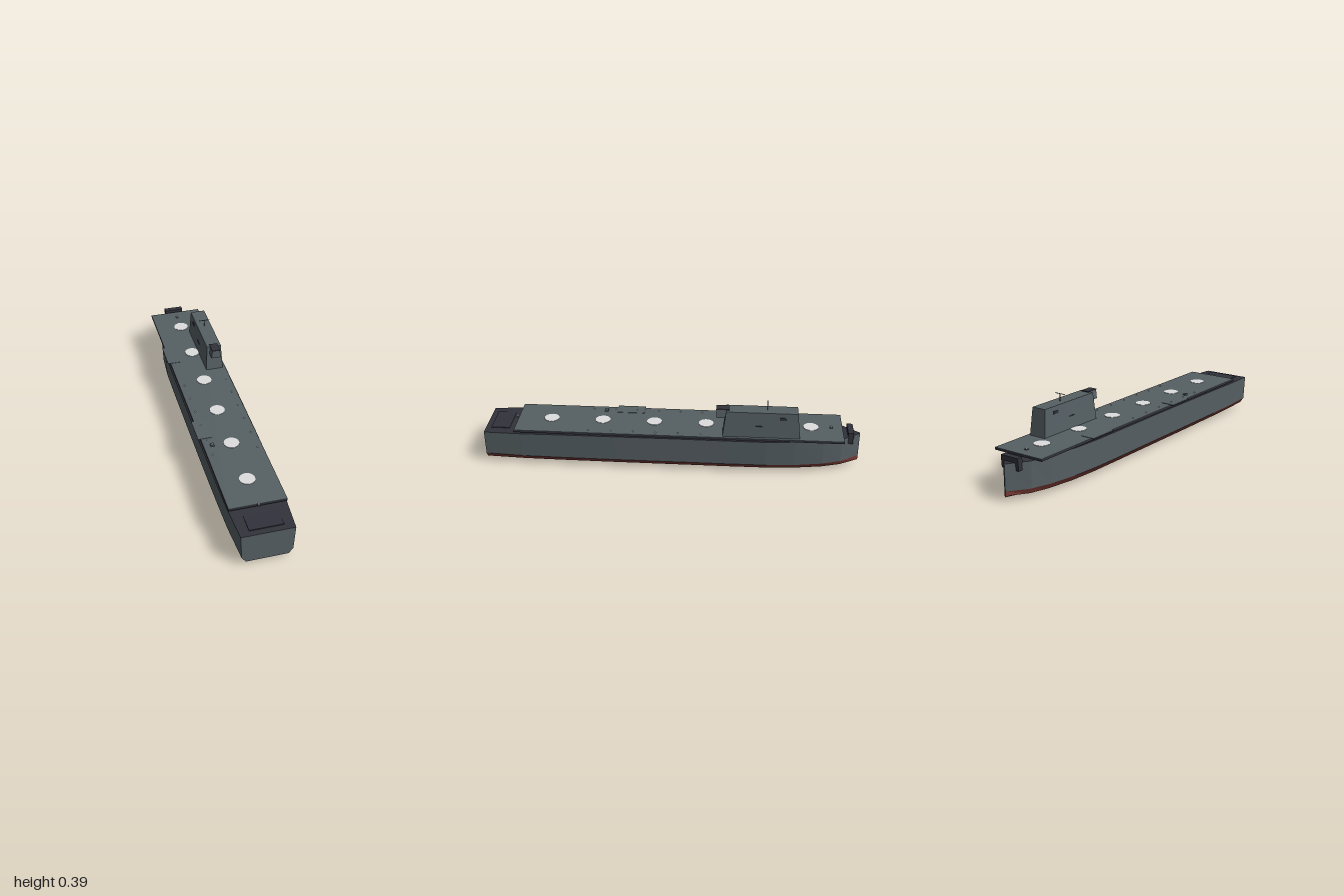
import * as THREE from 'three';

const mat = (name, color) => Object.assign(new THREE.MeshStandardMaterial({ color }), { name });

// Quads given as four corners, counter-clockwise from outside; flat normals
function quadGeometry(quads) {
  const pos = [];
  for (const [a, b, c, d] of quads) pos.push(...a, ...b, ...c, ...a, ...c, ...d);
  const g = new THREE.BufferGeometry();
  g.setAttribute('position', new THREE.Float32BufferAttribute(pos, 3));
  g.computeVertexNormals();
  return g;
}

// Box between two corners whose top is drawn in by tx and tz on each side
function block(x0, x1, y0, y1, z0, z1, tx = 0, tz = 0) {
  let g = new THREE.BoxGeometry(x1 - x0, y1 - y0, z1 - z0);
  const p = g.attributes.position;
  for (let i = 0; i < p.count; i++) {
    if (p.getY(i) > 0) {
      p.setX(i, p.getX(i) - Math.sign(p.getX(i)) * tx);
      p.setZ(i, p.getZ(i) - Math.sign(p.getZ(i)) * tz);
    }
  }
  g.translate((x0 + x1) / 2, (y0 + y1) / 2, (z0 + z1) / 2);
  g = g.toNonIndexed();
  g.computeVertexNormals();
  return g;
}

export function createModel() {
  const grey = mat('shipGrey', 0x566064);
  const dark = mat('darkDeck', 0x32323c);
  const red = mat('hullRed', 0x7a3a34);
  const white = mat('markingWhite', 0xdedede);

  const ship = new THREE.Group();
  ship.name = 'ship';
  const add = (name, geometry, material, parent = ship) => {
    const m = new THREE.Mesh(geometry, material);
    m.name = name;
    parent.add(m);
    return m;
  };

  // Hull stations, stern to bow: z, half width, sheer height, bilge height, keel height
  const stations = [
    [1, 0.133, 0.184, 0.02, 0.026],
    [0.8, 0.146, 0.189, 0.02, 0.016],
    [0.6, 0.15, 0.193, 0.02, 0.009],
    [0.3, 0.152, 0.195, 0.02, 0.003],
    [0, 0.152, 0.196, 0.02, 0],
    [-0.3, 0.152, 0.195, 0.02, 0.003],
    [-0.5, 0.15, 0.194, 0.02, 0.006],
    [-0.65, 0.138, 0.192, 0.02, 0.01],
    [-0.8, 0.112, 0.189, 0.022, 0.014],
    [-0.9, 0.078, 0.187, 0.024, 0.018],
    [-1, 0.003, 0.185, 0.028, 0.022],
  ];
  const rings = stations.map(([z, w, top, bilge, keel]) => {
    const half = [[w, top, z], [w * 0.95, 0.05, z], [w * 0.79, bilge, z], [w * 0.38, keel, z]];
    return [...half, ...half.slice().reverse().map(([x, y, zz]) => [-x, y, zz])];
  });
  const plating = (strakes) => {
    const quads = [];
    for (let i = 0; i < rings.length - 1; i++) {
      for (const j of strakes) {
        const k = (j + 1) % 8;
        quads.push([rings[i][j], rings[i][k], rings[i + 1][k], rings[i + 1][j]]);
      }
    }
    return quads;
  };
  const s = rings[0], b = rings[rings.length - 1];
  const transom = [0, 1, 2].map((j) => [s[j], s[7 - j], s[6 - j], s[j + 1]]);
  const stem = [0, 1, 2].map((j) => [b[7 - j], b[j], b[j + 1], b[6 - j]]);
  add('hullSides', quadGeometry([...plating([0, 6]), ...transom, stem[0]]), grey);
  add('hullBottom', quadGeometry([...plating([1, 2, 3, 4, 5]), stem[1], stem[2]]), red);
  add('hullDeck', quadGeometry(plating([7])), dark);
  add('sternHatch', block(-0.085, 0.085, 0.184, 0.19, 0.87, 0.97), dark);

  // Flight deck: dark slab with a grey top
  add('flightDeckSlab', block(-0.145, 0.145, 0.198, 0.208, -0.905, 0.835), dark);
  add('flightDeckTop', block(-0.145, 0.145, 0.208, 0.2105, -0.905, 0.835), grey);
  for (const [z0, z1] of [[-0.54, -0.38], [0.16, 0.31]]) {
    add('deckEdgeLift', block(-0.159, -0.085, 0.208, 0.2125, z0, z1), grey);
  }

  // Landing spots down the centreline
  for (let i = 0; i < 6; i++) {
    const spot = new THREE.CylinderGeometry(0.04, 0.04, 0.002, 24);
    add('landingSpot', spot, white).position.set(-0.001, 0.2115, 0.655 - i * 0.2785);
  }

  // Small deck lights along both edges
  for (let i = 0; i < 6; i++) {
    for (const x of [-0.117, 0.117]) {
      add('deckLight', new THREE.SphereGeometry(0.004, 8, 6), white).position.set(x, 0.212, -0.155 + i * 0.119);
    }
  }

  // Defence mounts at both ends
  for (const z of [0.842, -0.845]) {
    const y = z > 0.835 ? 0.208 : 0.21;
    add('mountBase', block(-0.007, 0.007, y, 0.215, z - 0.008, z + 0.008), grey);
    add('mountDome', new THREE.SphereGeometry(0.005, 8, 6), white).position.set(0, 0.218, z);
  }
  add('deckLocker', block(-0.11, -0.092, 0.21, 0.219, 0.36, 0.38), grey);

  // Island superstructure
  const island = new THREE.Group();
  island.name = 'island';
  ship.add(island);
  add('islandBody', block(0.035, 0.13, 0.21, 0.352, -0.675, -0.27, 0.008, 0.016), grey, island);
  add('bridge', block(0.056, 0.109, 0.308, 0.353, -0.3, -0.236, 0.005, 0), grey, island);
  add('bridgeRoof', block(0.06, 0.105, 0.353, 0.358, -0.302, -0.234), dark, island);
  for (const side of [-1, 1]) {
    const x = 0.0825 + side * 0.0415;
    add('sideVent', block(x - 0.003, x + 0.003, 0.313, 0.328, -0.6, -0.565), dark, island);
    const low = 0.0825 + side * 0.0445;
    add('sideSlot', block(low - 0.002, low + 0.002, 0.272, 0.277, -0.48, -0.44), dark, island);
  }
  const mast = new THREE.CylinderGeometry(0.002, 0.002, 0.038, 8);
  add('mast', mast, dark, island).position.set(0.082, 0.371, -0.5);
  add('mastYard', block(0.052, 0.112, 0.388, 0.3905, -0.502, -0.498), grey, island);

  // Bow bulwark and the anchors hanging from it
  add('bowBulwark', block(-0.052, 0.052, 0.183, 0.21, -0.962, -0.932), dark);
  for (const side of [-1, 1]) {
    const x = side * 0.044;
    add('anchor', block(x - 0.008, x + 0.008, 0.147, 0.185, -0.96, -0.934), dark);
  }

  ship.position.x = 0.002;
  const model = new THREE.Group();
  model.name = 'carrier';
  model.add(ship);
  return model;
}
